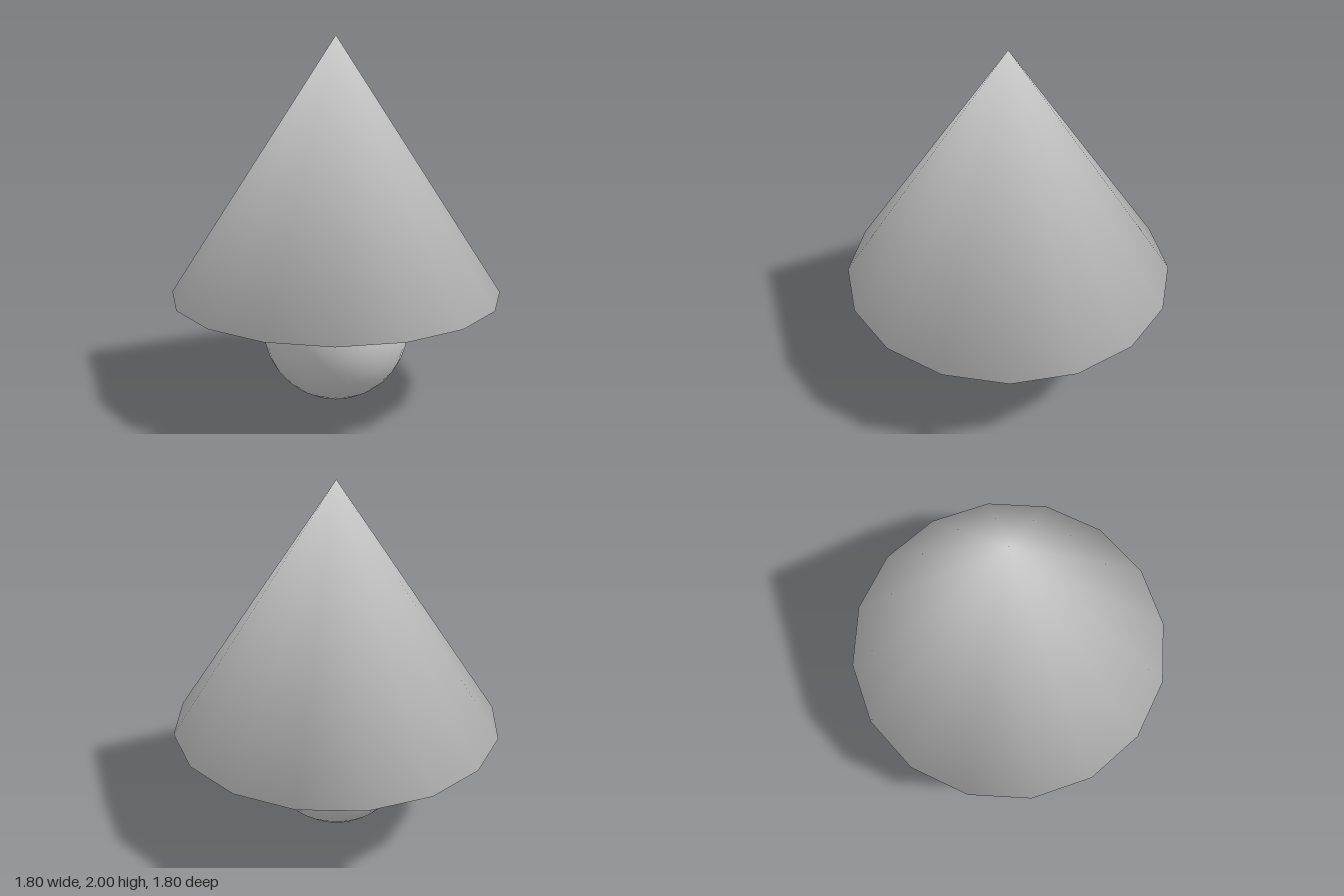
import * as THREE from 'three';
import { mergeVertices } from 'three/addons/utils/BufferGeometryUtils.js';

const RADIUS = 0.9, HEIGHT = 1.4, BASE_Y = 0.6;

// Closed cone with shared rim vertices, shaded softly from the sides into the base
function softCone() {
  const cone = new THREE.ConeGeometry(RADIUS, HEIGHT, 16);
  cone.deleteAttribute('normal');
  cone.deleteAttribute('uv');
  const geometry = mergeVertices(cone, 1e-4);
  geometry.clearGroups();
  geometry.computeVertexNormals();

  // Rim normals point outward and slightly down
  const position = geometry.attributes.position;
  const normal = geometry.attributes.normal;
  const n = new THREE.Vector3();
  for (let i = 0; i < position.count; i++) {
    const x = position.getX(i), z = position.getZ(i);
    if (Math.hypot(x, z) < 0.1) continue;
    n.set(x / RADIUS, -0.195, z / RADIUS).normalize();
    normal.setXYZ(i, n.x, n.y, n.z);
  }
  return geometry;
}

export function createModel() {
  const model = new THREE.Group();
  model.name = 'coneOnBall';

  const grey = new THREE.MeshStandardMaterial({ color: 0xcccccc });
  grey.name = 'lightGrey';

  // Wide cone on top
  const cone = new THREE.Mesh(softCone(), grey);
  cone.name = 'cone';
  cone.position.y = BASE_Y + HEIGHT / 2;
  model.add(cone);

  // Ball underneath, sunk into the cone's base
  const ball = new THREE.Mesh(new THREE.SphereGeometry(0.4, 32, 16), grey);
  ball.name = 'ball';
  ball.position.y = 0.4;
  model.add(ball);

  return model;
}
